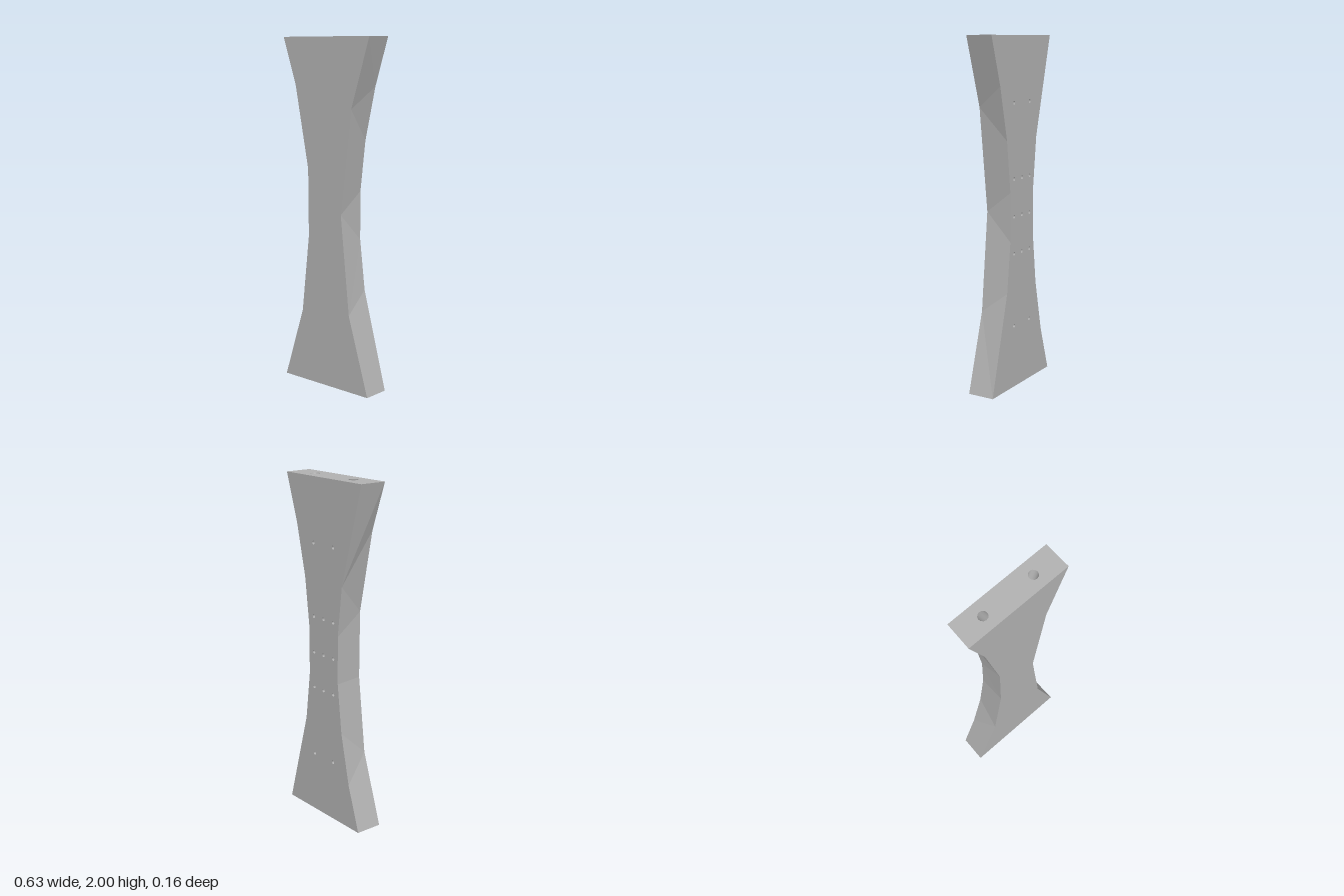
import * as THREE from 'three';

const HALF = 0.079; // half thickness
const HEIGHT = 2;

// Edge outlines as [x, y], bottom to top; front and back faces are faceted differently
const frontRight = [[0.316, 0], [0.178, 0.45], [0.117, 1.02], [0.191, 1.61], [0.316, 2]];
const frontLeft = [[-0.317, 0], [-0.18, 0.42], [-0.128, 0.87], [-0.131, 1.26], [-0.225, 1.73], [-0.317, 2]];
const backRight = [[0.316, 0], [0.161, 0.57], [0.126, 0.86], [0.126, 1.14], [0.161, 1.43], [0.23, 1.73], [0.316, 2]];
const backLeft = [[-0.311, 0], [-0.224, 0.27], [-0.159, 0.57], [-0.126, 0.86], [-0.126, 1.14], [-0.159, 1.43], [-0.311, 2]];

const toVectors = (pts) => pts.map(([x, y]) => new THREE.Vector2(x, y));

// Flat face from an outline, pierced by polygonal holes [x, y, radius, sides]
function plate(outline, holes = []) {
  const shape = new THREE.Shape(toVectors(outline));
  for (const [x, y, r, n] of holes) {
    const ring = [];
    for (let i = 0; i < n; i++) {
      const a = (-i / n) * Math.PI * 2;
      ring.push([x + r * Math.cos(a), y + r * Math.sin(a)]);
    }
    shape.holes.push(new THREE.Path(toVectors(ring)));
  }
  return new THREE.ShapeGeometry(shape);
}

// Faceted strip joining a front edge to a back edge
function sideStrip(front, back, flip) {
  const pos = [];
  const f = front.map(([x, y]) => [x, y, HALF]);
  const b = back.map(([x, y]) => [x, y, -HALF]);
  const tri = (p, q, r) => pos.push(...p, ...(flip ? r : q), ...(flip ? q : r));
  let i = 0, j = 0;
  while (i < f.length - 1 || j < b.length - 1) {
    const stepFront = j === b.length - 1 || (i < f.length - 1 && f[i + 1][1] <= b[j + 1][1]);
    if (stepFront) {
      tri(f[i], b[j], f[i + 1]);
      i++;
    } else {
      tri(f[i], b[j], b[j + 1]);
      j++;
    }
  }
  const geo = new THREE.BufferGeometry();
  geo.setAttribute('position', new THREE.Float32BufferAttribute(pos, 3));
  geo.computeVertexNormals();
  return geo;
}

export function createModel() {
  const group = new THREE.Group();
  const grey = new THREE.MeshStandardMaterial({ color: 0xb0b0b0, side: THREE.DoubleSide });
  grey.name = 'plain grey';

  const add = (name, geo, parent = group) => {
    const mesh = new THREE.Mesh(geo, grey);
    mesh.name = name;
    parent.add(mesh);
    return mesh;
  };

  // Blind hole with its mouth at the origin, sinking along -y; slant shears it sideways
  const bore = (name, r, depth, sides, slant = 0) => {
    const hole = new THREE.Group();
    hole.name = name;
    const wall = new THREE.CylinderGeometry(r, r, depth, sides, 1, true).translate(0, -depth / 2, 0);
    const floor = new THREE.CircleGeometry(r, sides).rotateX(-Math.PI / 2).translate(0, -depth, 0);
    for (const geo of [wall, floor]) {
      const p = geo.attributes.position;
      for (let i = 0; i < p.count; i++) p.setX(i, p.getX(i) + slant * p.getY(i));
      geo.computeVertexNormals();
    }
    add(name + 'Wall', wall, hole);
    add(name + 'Floor', floor, hole);
    group.add(hole);
    return hole;
  };

  // Front face
  add('frontFace', plate([...frontRight, ...[...frontLeft].reverse()]).translate(0, 0, HALF));

  // Back face with its small fixing holes
  const fixings = [];
  for (const dy of [-0.635, -0.213, 0, 0.213, 0.635]) {
    for (const x of [-0.085, 0, 0.085]) {
      if (x === 0 && Math.abs(dy) > 0.5) continue;
      fixings.push([x, 1 + dy]);
    }
  }
  const mirror = (pts) => pts.map(([x, y]) => [-x, y]);
  add('backFace', plate(
    [...mirror(backLeft), ...mirror(backRight).reverse()],
    fixings.map(([x, y]) => [-x, y, 0.011, 8]),
  ).rotateY(Math.PI).translate(0, 0, -HALF));
  for (const [x, y] of fixings) {
    const hole = bore('fixingHole', 0.011, 0.08, 8);
    hole.rotation.x = -Math.PI / 2;
    hole.position.set(x, y, -HALF);
  }

  // Curved sides
  add('leftSide', sideStrip(frontRight, backRight, false));
  add('rightSide', sideStrip(frontLeft, backLeft, true));

  // Ends, each with two slanted bores following the flare
  const endHoles = [[-0.16, 0, 0.027, 12], [0.16, 0, 0.027, 12]];
  const topOutline = [[-0.317, -HALF], [0.316, -HALF], [0.316, HALF], [-0.311, HALF]];
  const bottomOutline = [[-0.311, -HALF], [0.316, -HALF], [0.316, HALF], [-0.317, HALF]];
  add('topEnd', plate(topOutline, endHoles).rotateX(-Math.PI / 2).translate(0, HEIGHT, 0));
  add('bottomEnd', plate(bottomOutline, endHoles).rotateX(Math.PI / 2));
  for (const s of [-1, 1]) {
    bore('topBore', 0.027, 0.3, 12, s * 0.3).position.set(s * 0.16, HEIGHT, 0);
    const low = bore('bottomBore', 0.027, 0.3, 12, s * 0.3);
    low.rotation.x = Math.PI;
    low.position.set(s * 0.16, 0, 0);
  }

  return group;
}
